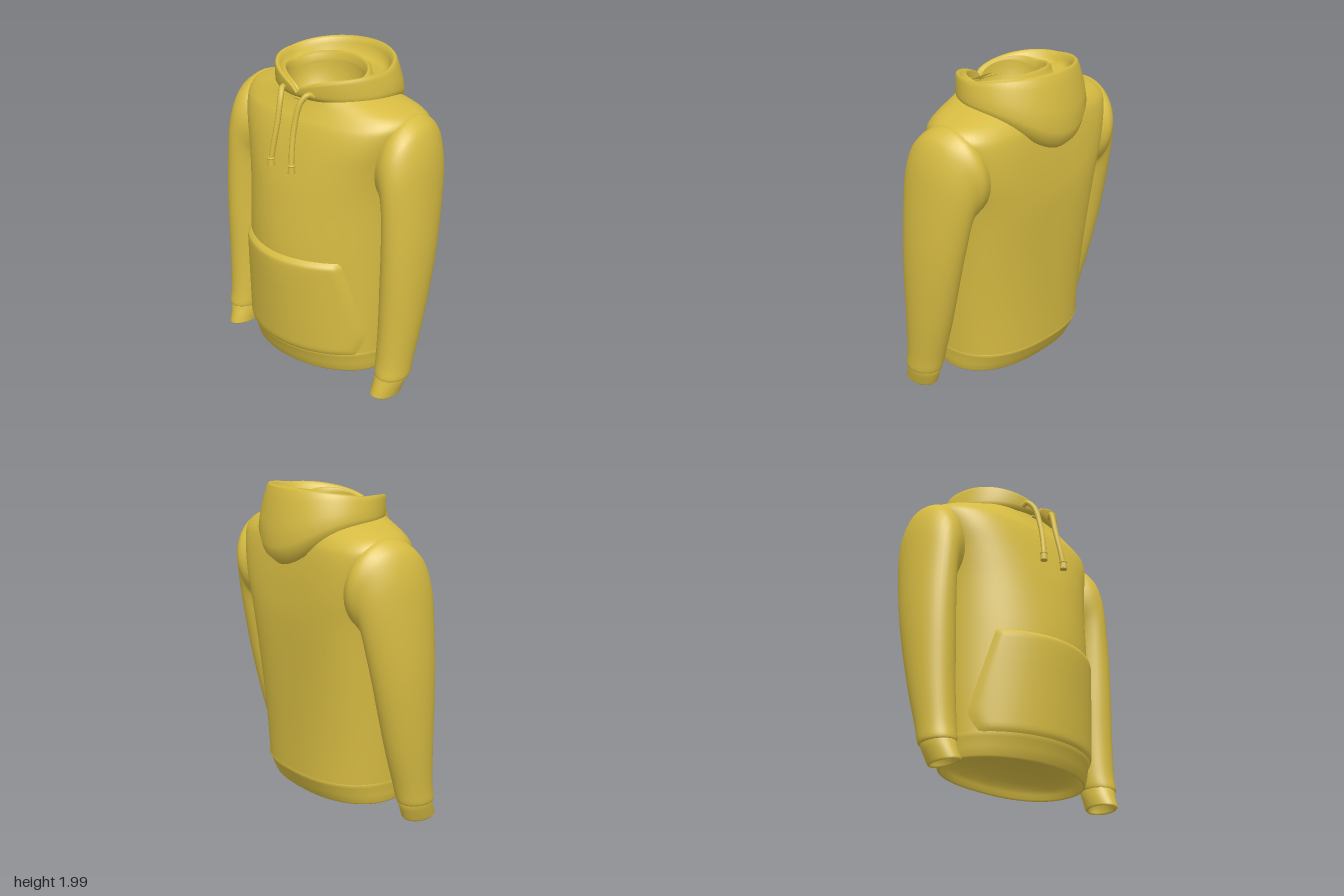
import * as THREE from 'three';

const fabric = new THREE.MeshStandardMaterial({ color: 0xd6bb42, side: THREE.DoubleSide });
fabric.name = 'mustard fabric';

const { lerp, smoothstep } = THREE.MathUtils;
const V = (x, y, z) => new THREE.Vector3(x, y, z);
const bend = (v, n) => Math.sign(v) * Math.abs(v) ** (2 / n);

function part(name, geometry) {
  const mesh = new THREE.Mesh(geometry, fabric);
  mesh.name = name;
  return mesh;
}

// Skin between rows of points; closed rows wrap around
function loft(rows, closed = true) {
  const n = rows[0].length, index = [];
  for (let j = 0; j < rows.length - 1; j++) {
    for (let i = 0; i < (closed ? n : n - 1); i++) {
      const a = j * n + i, b = j * n + (i + 1) % n;
      index.push(a, a + n, b, b, a + n, b + n);
    }
  }
  const g = new THREE.BufferGeometry().setFromPoints(rows.flat());
  g.setIndex(index);
  g.computeVertexNormals();
  return g;
}

// Rows of numbers refined with a Catmull-Rom spline
function refine(table, steps) {
  const out = [], last = table.length - 1;
  for (let k = 0; k <= last * steps; k++) {
    const i = Math.min(Math.floor(k / steps), last - 1), t = k / steps - i;
    const p = [i - 1, i, i + 1, i + 2].map(q => table[Math.max(0, Math.min(last, q))]);
    out.push(p[1].map((v, c) => {
      const a = p[0][c], b = p[2][c], d = p[3][c];
      return v + 0.5 * t * (b - a + t * (2 * a - 5 * v + 4 * b - d + t * (3 * (v - b) + d - a)));
    }));
  }
  return out;
}

// Torso sections: y, half width, front z, back z, side z, front and back fullness
const torso = refine([
  [0.22, 0.512, 0.415, -0.345, 0.04, 1.95, 2.4],
  [0.50, 0.52, 0.43, -0.355, 0.03, 1.87, 2.5],
  [0.85, 0.525, 0.442, -0.375, 0.0, 1.87, 2.8],
  [1.20, 0.53, 0.402, -0.395, -0.04, 2.1, 3.4],
  [1.40, 0.55, 0.362, -0.39, -0.07, 2.4, 4.2],
  [1.55, 0.585, 0.322, -0.378, -0.08, 2.6, 4.2],
  [1.65, 0.615, 0.288, -0.363, -0.085, 2.5, 3.7],
  [1.70, 0.622, 0.262, -0.348, -0.085, 2.3, 3.1],
  [1.74, 0.595, 0.243, -0.327, -0.085, 2.1, 2.6],
  [1.77, 0.52, 0.23, -0.30, -0.08, 2.1, 2.4],
  [1.80, 0.42, 0.22, -0.265, -0.06, 2.1, 2.3],
  [1.825, 0.34, 0.21, -0.23, -0.04, 2.1, 2.3],
], 4);

function torsoRing([y, w, zf, zb, zc, ef, eb], n = 80) {
  return Array.from({ length: n }, (_, i) => {
    const a = i / n * Math.PI * 2, c = Math.cos(a), s = Math.sin(a);
    const e = s > 0 ? ef : eb;
    return V(w * bend(c, e), y, zc + bend(s, e) * (s > 0 ? zf - zc : zc - zb));
  });
}

function frontZ(x, y) {
  let i = 0;
  while (i < torso.length - 2 && torso[i + 1][0] < y) i++;
  const t = (y - torso[i][0]) / (torso[i + 1][0] - torso[i][0]);
  const [, w, zf, , zc, ef] = torso[i].map((v, c) => lerp(v, torso[i + 1][c], t));
  return zc + (zf - zc) * Math.max(0, 1 - Math.abs(x / w) ** ef) ** (1 / ef);
}

// Waistband with a rolled seam, a turned-in edge and a domed inside
function hem() {
  const rows = [
    [0.24, 0.505, 0.41, -0.34], [0.225, 0.516, 0.42, -0.35],
    [0.205, 0.507, 0.405, -0.338], [0.15, 0.504, 0.39, -0.315],
    [0.10, 0.497, 0.37, -0.288], [0.09, 0.488, 0.36, -0.278],
    [0.10, 0.478, 0.35, -0.268],
  ];
  for (let k = 1; k <= 10; k++) {
    const a = k / 10 * Math.PI / 2, c = Math.max(Math.cos(a), 0.001);
    rows.push([0.10 + 0.18 * Math.sin(a), 0.478 * c, 0.04 + 0.31 * c, 0.04 - 0.308 * c]);
  }
  return loft(rows.map(r => torsoRing([...r, 0.04, 1.95, 2.4])));
}

// Tilted oval: outer x, outer y, inner x, inner y, front z, back z
function sleeveRing(side, [xo, yo, xi, yi, zf, zb], n = 40) {
  return Array.from({ length: n }, (_, i) => {
    const a = i / n * Math.PI * 2, c = Math.cos(a), s = Math.sin(a);
    return V(side * ((xo + xi) / 2 + c * (xo - xi) / 2), (yo + yi) / 2 + c * (yo - yi) / 2,
      (zf + zb) / 2 + s * (zf - zb) / 2);
  });
}
const sleeveRows = refine([
  [0.54, 1.735, 0.44, 1.20, 0.13, -0.32],
  [0.60, 1.745, 0.49, 1.19, 0.165, -0.345],
  [0.648, 1.722, 0.52, 1.17, 0.185, -0.342],
  [0.702, 1.665, 0.53, 1.13, 0.195, -0.315],
  [0.747, 1.53, 0.53, 1.08, 0.20, -0.293],
  [0.772, 1.33, 0.528, 1.00, 0.20, -0.265],
  [0.79, 1.05, 0.527, 0.86, 0.20, -0.22],
  [0.79, 0.80, 0.527, 0.70, 0.20, -0.175],
  [0.775, 0.50, 0.533, 0.46, 0.20, -0.11],
  [0.755, 0.25, 0.54, 0.25, 0.21, -0.045],
  [0.75, 0.145, 0.548, 0.155, 0.225, -0.02],
  [0.735, 0.13, 0.56, 0.14, 0.215, -0.005],
], 4);
const cuffRows = [
  [0.73, 0.16, 0.56, 0.16, 0.21, 0.0], [0.737, 0.13, 0.553, 0.14, 0.222, -0.01],
  [0.725, 0.09, 0.557, 0.10, 0.23, 0.005], [0.71, 0.02, 0.555, 0.035, 0.26, 0.03],
  [0.70, 0.008, 0.565, 0.025, 0.25, 0.04], [0.69, 0.02, 0.575, 0.035, 0.24, 0.05],
  [0.69, 0.08, 0.59, 0.085, 0.20, 0.05], [0.645, 0.11, 0.635, 0.11, 0.13, 0.12],
];

// Kangaroo pocket lying over the belly with rounded edges
function pocket() {
  const rows = [], N = 48, M = 30;
  for (let j = 0; j <= M; j++) {
    const v = j / M, y = lerp(0.215, 0.86, v);
    const w = y < 0.36 ? lerp(0.445, 0.487, Math.sin((y - 0.215) / 0.145 * Math.PI / 2))
      : lerp(0.487, 0.385, ((y - 0.36) / 0.5) ** 1.15);
    rows.push(Array.from({ length: N + 1 }, (_, i) => {
      const u = i / N * 2 - 1, x = u * w;
      const edge = Math.min(1, (1 - Math.abs(u)) * 14, v * 18, (1 - v) * 24);
      return V(x * (1 + 0.01 * edge), y, frontZ(x, y) - 0.006 + lerp(0.02, 0.036, v) * Math.sqrt(edge));
    }));
  }
  return loft(rows, false);
}

// Hood: an oval ring, half width w, from front z to back z, height by angle
function hoodRing(w, zf, zb, height, n = 80) {
  return Array.from({ length: n }, (_, i) => {
    const t = i / n * Math.PI * 2, b = (1 - Math.cos(t)) / 2;
    return V(w * Math.sin(t), height(b, Math.abs(Math.sin(t))), lerp(zf, zb, b));
  });
}
const rimY = (b, s) => b < 0.5 ? 1.825 + 0.125 * s ** 0.55 : lerp(1.95, 1.997, (b - 0.5) * 2);
const baseY = b => 1.80 - 0.25 * b ** 5;
const blendY = k => (b, s) => lerp(baseY(b), rimY(b, s), k);
const below = d => (b, s) => rimY(b, s) - d * Math.min(1, 0.15 + b * 1.6);
// Height of the fold behind the neck, deepest at the back
const trench = (d, deep) => (b, s) => below(d)(b, s) - deep * smoothstep(b, 0.6, 0.88);

function hood() {
  return loft([
    hoodRing(0.34, 0.20, -0.33, b => baseY(b) + 0.01),
    hoodRing(0.385, 0.235, -0.41, b => baseY(b) - 0.012),
    hoodRing(0.402, 0.25, -0.455, blendY(0.06)),
    hoodRing(0.404, 0.255, -0.474, blendY(0.22)),
    hoodRing(0.397, 0.26, -0.462, blendY(0.5)),
    hoodRing(0.385, 0.262, -0.43, blendY(0.82)),
    hoodRing(0.378, 0.262, -0.412, blendY(0.96)),
    hoodRing(0.368, 0.255, -0.40, rimY),
    hoodRing(0.352, 0.245, -0.385, below(0.012)),
    hoodRing(0.342, 0.238, -0.375, below(0.04)),
    hoodRing(0.325, 0.234, -0.355, trench(0.065, 0.05)),
    hoodRing(0.295, 0.232, -0.25, trench(0.075, 0.05)),
    hoodRing(0.282, 0.23, -0.232, below(0.06)),
    hoodRing(0.268, 0.226, -0.215, below(0.045)),
    hoodRing(0.256, 0.222, -0.202, below(0.06)),
    hoodRing(0.252, 0.22, -0.196, below(0.10)),
  ]);
}

// Lining that closes the neck opening
function lining() {
  const rows = [], start = below(0.10);
  for (let k = 0; k <= 12; k++) {
    const a = k / 12 * Math.PI / 2, c = Math.max(Math.cos(a), 0.001), h = Math.sin(a);
    rows.push(hoodRing(0.252 * c, 0.012 + 0.208 * c, 0.012 - 0.208 * c, (b, s) => lerp(start(b, s), 1.58, h)));
  }
  return loft(rows);
}

// Drawcord hanging from the neck, with a knotted tip
function drawcord(side) {
  const g = new THREE.Group();
  g.name = side > 0 ? 'leftDrawcord' : 'rightDrawcord';
  const path = new THREE.CatmullRomCurve3([
    V(side * 0.115, 1.82, 0.235), V(side * 0.105, 1.835, 0.265), V(side * 0.08, 1.79, 0.305),
    V(side * 0.068, 1.65, 0.345), V(side * 0.075, 1.52, 0.373), V(side * 0.085, 1.40, 0.39),
  ]);
  g.add(part('cord', new THREE.TubeGeometry(path, 32, 0.017, 10)));
  const tip = part('cordTip', new THREE.CylinderGeometry(0.02, 0.023, 0.045, 12));
  tip.position.set(side * 0.085, 1.405, 0.388);
  const knot = part('cordKnot', new THREE.TorusGeometry(0.017, 0.007, 8, 16));
  knot.rotation.x = Math.PI / 2;
  knot.position.set(side * 0.084, 1.43, 0.387);
  g.add(tip, knot);
  return g;
}

export function createModel() {
  const model = new THREE.Group();
  model.name = 'hoodie';
  model.add(part('torso', loft(torso.map(r => torsoRing(r)))), part('hemBand', hem()),
    part('frontPocket', pocket()), part('hood', hood()), part('neckLining', lining()));
  for (const side of [1, -1]) {
    const name = side > 0 ? 'left' : 'right';
    model.add(part(name + 'Sleeve', loft(sleeveRows.map(r => sleeveRing(side, r)))),
      part(name + 'Cuff', loft(cuffRows.map(r => sleeveRing(side, r)))), drawcord(side));
  }
  // Small stitched tab below the neckline
  const tab = part('neckTab', new THREE.CapsuleGeometry(0.008, 0.05, 4, 8));
  tab.rotation.z = Math.PI / 2;
  tab.position.set(0, 1.782, 0.238);
  model.add(tab);
  return model;
}
